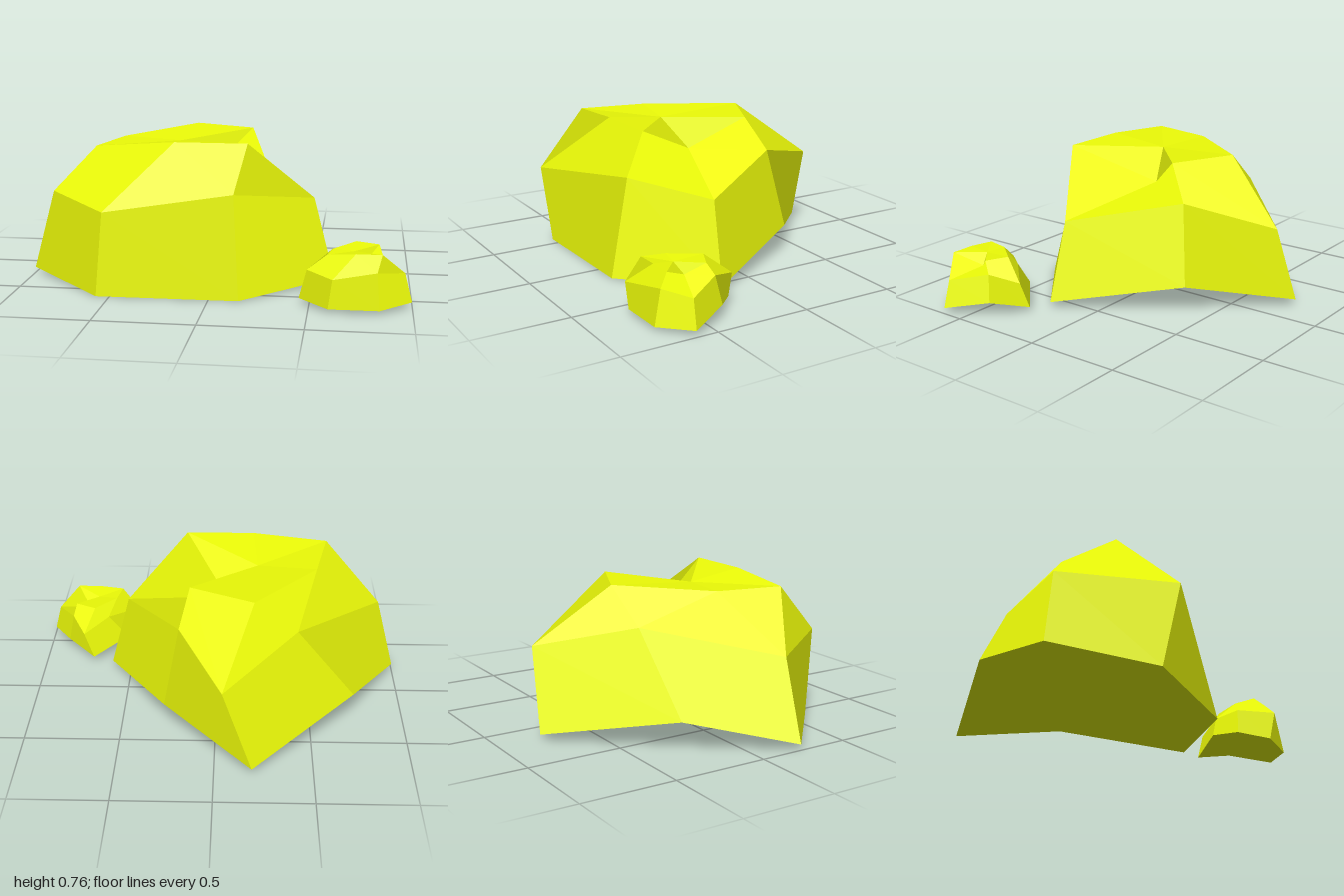
import * as THREE from 'three';

// Seven-sided rings of the rock, counterclockwise seen from above
const foot = [
  [-1, 0.03, 0.23], [-0.57, 0, 0.62], [0.15, 0, 0.61], [0.61, 0.03, 0.23],
  [0.27, 0.15, -0.39], [-0.19, 0.03, -0.78], [-0.73, 0.16, -0.29],
];
const shoulder = [
  [-0.89, 0.45, 0.21], [-0.51, 0.45, 0.70], [0.11, 0.51, 0.49], [0.5, 0.45, 0.21],
  [0.19, 0.565, -0.32], [-0.04, 0.45, -0.74], [-0.42, 0.57, -0.34],
];
// The fourth crown point is the notch of the chipped corner
const crown = [
  [-0.60, 0.73, 0.40], [-0.195, 0.76, 0.43], [0.175, 0.76, 0.43], [-0.05, 0.57, 0.03],
  [0.135, 0.75, -0.21], [-0.195, 0.75, -0.365], [-0.53, 0.73, 0.05],
];
const hub = [-0.217, 0.72, 0.107]; // inner point of the top

function rockGeometry() {
  const positions = [];
  const normals = [];

  // Adds a polygon as a fan from its first corner, shaded with one average normal
  const face = (...corners) => {
    const p = corners.map((c) => new THREE.Vector3(...c));
    const normal = new THREE.Vector3();
    for (let i = 1; i < p.length - 1; i++) {
      const a = p[i].clone().sub(p[0]);
      const b = p[i + 1].clone().sub(p[0]);
      normal.add(a.cross(b));
      positions.push(...corners[0], ...corners[i], ...corners[i + 1]);
    }
    normal.normalize();
    for (let i = 0; i < 3 * (p.length - 2); i++) normals.push(...normal.toArray());
  };

  // Walls, sloping facets and top facets
  foot.forEach((p, i) => {
    const j = (i + 1) % foot.length;
    face(foot[j], shoulder[j], shoulder[i], p);
    face(shoulder[j], crown[j], crown[i], shoulder[i]);
    face(crown[i], crown[j], hub);
  });

  // Underside, fanned from its raised corner
  face(...[4, 3, 2, 1, 0, 6, 5].map((i) => foot[i]));

  const geometry = new THREE.BufferGeometry();
  geometry.setAttribute('position', new THREE.Float32BufferAttribute(positions, 3));
  geometry.setAttribute('normal', new THREE.Float32BufferAttribute(normals, 3));
  return geometry;
}

export function createModel() {
  const group = new THREE.Group();
  group.name = 'rocks';
  const material = new THREE.MeshStandardMaterial({ color: 0xecfb08 });
  const geometry = rockGeometry();

  const largeRock = new THREE.Mesh(geometry, material);
  largeRock.name = 'largeRock';

  // Same shape, about a third of the size
  const smallRock = new THREE.Mesh(geometry, material);
  smallRock.name = 'smallRock';
  smallRock.scale.setScalar(0.341);
  smallRock.position.set(0.79, 0.02, 0.535);

  group.add(largeRock, smallRock);
  return group;
}
